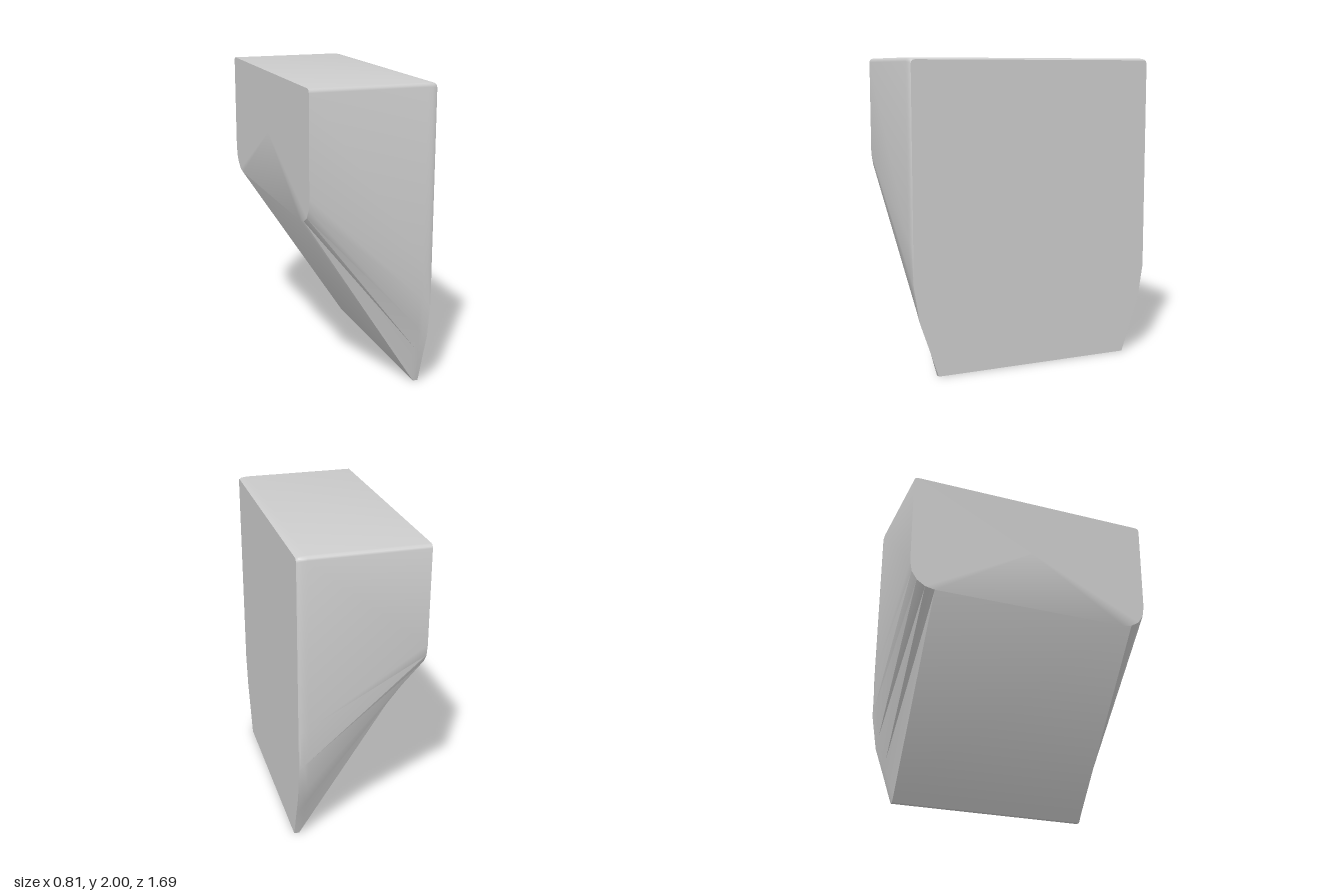
import * as THREE from 'three';
import { toCreasedNormals } from 'three/addons/utils/BufferGeometryUtils.js';

const HALF = 0.845, TOP = 2, BOTTOM_HALF = 0.675, X0 = -0.405, X1 = 0.403, KNEE = 0.37;

// Lower corner profile: z, height on the low (-x) end, height on the tall (+x) end
const corner = [
  [0.845, 1.36, 0.85],
  [0.833, 1.285, 0.59],
  [0.797, 1.23, 0.36],
  [0.74, 1.193, 0.195],
];

// Closed outline at one x, running top, +z side, bottom, -z side
function section(x, inset) {
  const t = (x - X0) / (X1 - X0);
  const r = 0.025, half = [];
  for (let i = 0; i <= 3; i++) {
    const a = (i / 3) * Math.PI / 2;
    half.push([HALF - inset - r + r * Math.sin(a), TOP - inset - r + r * Math.cos(a)]);
  }
  for (const [z, low, tall] of corner) {
    half.push([Math.min(z, HALF - inset), low + (tall - low) * t]);
  }
  half.push([BOTTOM_HALF, Math.max(0, 1.18 * (1 - (x - X0) / (KNEE - X0)))]);
  const mirrored = half.map(([z, y]) => [-z, y]).reverse();
  return [...half, ...mirrored].map(([z, y]) => new THREE.Vector3(x, y, z));
}

// Skin the sections and close both ends
function loft(sections) {
  const pos = [], n = sections[0].length;
  const tri = (...pts) => pts.forEach((p) => pos.push(p.x, p.y, p.z));
  for (let i = 0; i < sections.length - 1; i++) {
    for (let j = 0; j < n; j++) {
      const k = (j + 1) % n;
      const a = sections[i][j], b = sections[i][k];
      const c = sections[i + 1][k], d = sections[i + 1][j];
      tri(a, b, c);
      tri(a, c, d);
    }
  }
  const first = sections[0], last = sections[sections.length - 1];
  const c0 = new THREE.Vector3(first[0].x, 1.6, 0);
  const c1 = new THREE.Vector3(last[0].x, 1, 0);
  for (let j = 0; j < n; j++) {
    const k = (j + 1) % n;
    tri(c0, first[k], first[j]);
    tri(c1, last[j], last[k]);
  }
  const geo = new THREE.BufferGeometry();
  geo.setAttribute('position', new THREE.Float32BufferAttribute(pos, 3));
  return toCreasedNormals(geo, 0.6);
}

export function createModel() {
  const group = new THREE.Group();
  group.name = 'wedgeBlock';
  const grey = new THREE.MeshStandardMaterial({ color: 0xcccccc });
  grey.name = 'grey';

  // Body: sloped underside with a softened rim at the tall end
  const body = new THREE.Mesh(loft([
    section(X0, 0),
    section(0.34, 0),
    section(KNEE, 0.002),
    section(0.39, 0.005),
    section(X1, 0.012),
  ]), grey);
  body.name = 'body';
  group.add(body);
  return group;
}
